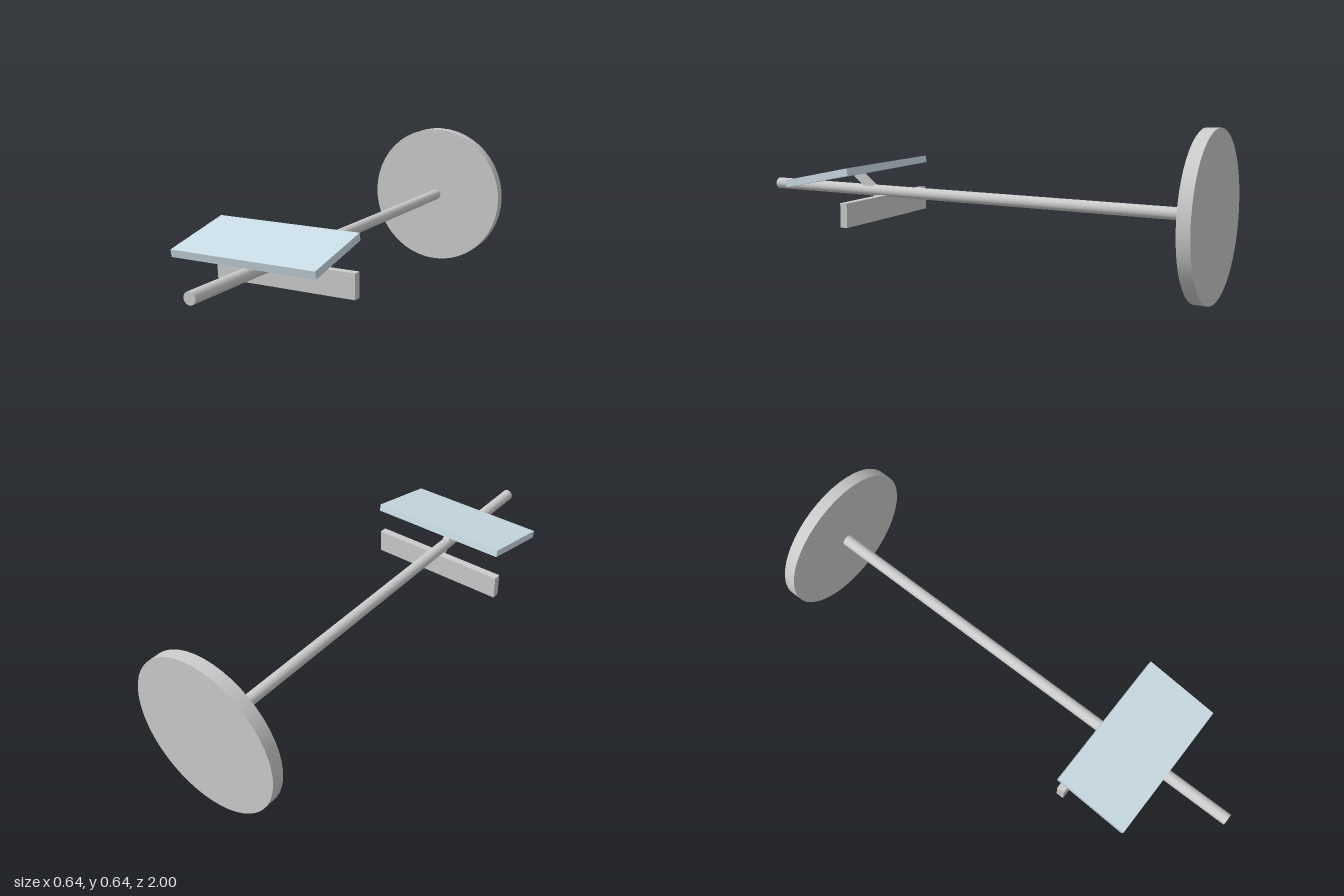
import * as THREE from 'three';

const grey = new THREE.MeshStandardMaterial({ color: 0xcccccc });
const blue = new THREE.MeshStandardMaterial({ color: 0xcadde6 });
const AXIS_Y = 0.32;

export function createModel() {
  const model = new THREE.Group();

  const add = (name, geometry, material, y, z, tilt = 0) => {
    const mesh = new THREE.Mesh(geometry, material);
    mesh.name = name;
    mesh.position.set(0, y, z);
    mesh.rotation.x = tilt;
    model.add(mesh);
  };

  // Upright disc at the back and the long rod running forward from it
  add('disc', new THREE.CylinderGeometry(0.32, 0.32, 0.05, 48), grey, AXIS_Y, -0.975, Math.PI / 2);
  add('rod', new THREE.CylinderGeometry(0.024, 0.024, 1.97, 32), grey, AXIS_Y + 0.002, 0.015, Math.PI / 2);

  // Tilted panel, lower at the front, on a slanted strut through the rod
  add('panel', new THREE.BoxGeometry(0.6, 0.03, 0.318), blue, 0.401, 0.559, 0.209);
  add('strut', new THREE.BoxGeometry(0.03, 0.032, 0.156), grey, 0.344, 0.503, -0.66);

  // Crossbar hanging under the rod
  add('crossbar', new THREE.BoxGeometry(0.6, 0.099, 0.032), grey, 0.257, 0.423);

  return model;
}
